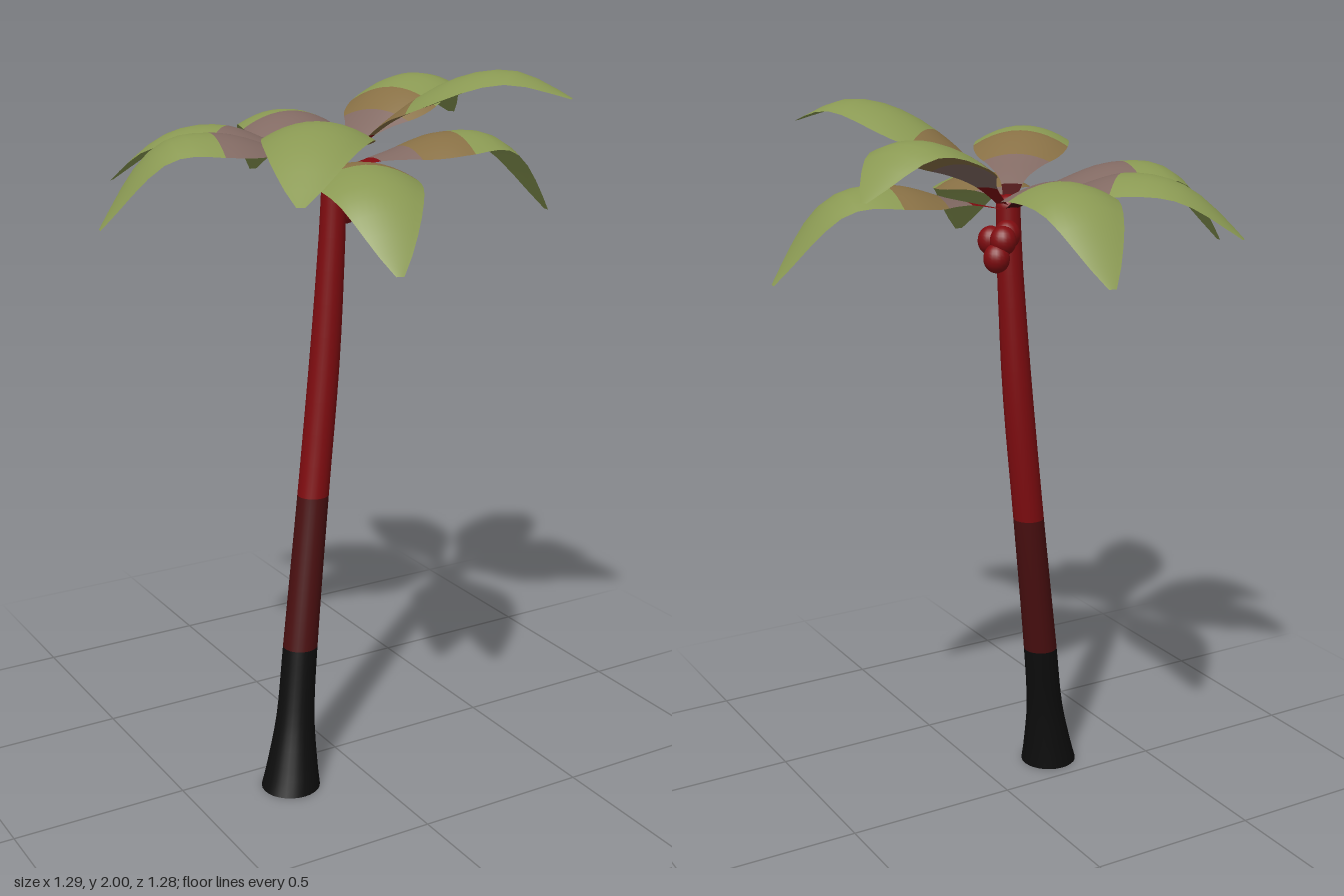
import * as THREE from 'three';

const mat = (name, color, side = THREE.FrontSide) => {
  const m = new THREE.MeshStandardMaterial({ color, side });
  m.name = name;
  return m;
};

// Smooth curve through [t, value] keys
function smooth(keys, t) {
  let i = 0;
  while (i < keys.length - 2 && t > keys[i + 1][0]) i++;
  const slope = (a, b) => (keys[b][1] - keys[a][1]) / (keys[b][0] - keys[a][0]);
  const tangent = k => slope(Math.max(k - 1, 0), Math.min(k + 1, keys.length - 1));
  const h = keys[i + 1][0] - keys[i][0];
  const s = (t - keys[i][0]) / h, s2 = s * s, s3 = s2 * s;
  return keys[i][1] * (2 * s3 - 3 * s2 + 1) + keys[i + 1][1] * (3 * s2 - 2 * s3)
    + h * (tangent(i) * (s3 - 2 * s2 + s) + tangent(i + 1) * (s3 - s2));
}

// Surface from cross-sections; one material group for each band between breaks
function bandedSurface(breaks, rowsPerBand, cols, pointAt) {
  const ts = [breaks[0]];
  for (let b = 1; b < breaks.length; b++) {
    for (let r = 1; r <= rowsPerBand; r++) {
      ts.push(THREE.MathUtils.lerp(breaks[b - 1], breaks[b], r / rowsPerBand));
    }
  }
  const positions = [], index = [];
  for (const t of ts) {
    for (let j = 0; j <= cols; j++) positions.push(...pointAt(t, j / cols));
  }
  for (let i = 0; i < ts.length - 1; i++) {
    for (let j = 0; j < cols; j++) {
      const a = i * (cols + 1) + j, b = a + cols + 1;
      index.push(a, b, a + 1, b, b + 1, a + 1);
    }
  }
  const g = new THREE.BufferGeometry();
  g.setAttribute('position', new THREE.Float32BufferAttribute(positions, 3));
  g.setIndex(index);
  const perBand = rowsPerBand * cols * 6;
  for (let b = 0; b < breaks.length - 1; b++) g.addGroup(b * perBand, perBand, b);
  g.computeVertexNormals();
  return g;
}

export function createModel() {
  const model = new THREE.Group();
  const add = (name, geometry, material) => {
    const mesh = new THREE.Mesh(geometry, material);
    mesh.name = name;
    model.add(mesh);
    return mesh;
  };

  const black = mat('trunkBlack', 0x0d0d0d);
  const maroon = mat('trunkMaroon', 0x4a0f10);
  const red = mat('trunkRed', 0x800c10);
  const leafMats = {
    maroon: mat('stalkMaroon', 0x4a0f10, THREE.DoubleSide),
    red: mat('stalkRed', 0x800c10, THREE.DoubleSide),
    mauve: mat('leafMauve', 0x826a63, THREE.DoubleSide),
    brown: mat('leafBrown', 0x887045, THREE.DoubleSide),
    green: mat('leafGreen', 0x8a9953, THREE.DoubleSide),
  };

  // Leaning trunk with a flared foot
  const trunkX = [[0, -0.217], [0.2, -0.187], [0.4, -0.157], [0.83, -0.093], [1.2, -0.05], [1.55, -0.026], [1.73, -0.02]];
  const trunkZ = [[0, 0.121], [0.2, 0.097], [0.4, 0.074], [0.83, 0.038], [1.2, 0.027], [1.73, 0.03]];
  const trunkR = [[0, 0.083], [0.06, 0.072], [0.2, 0.054], [0.4, 0.049], [0.83, 0.044], [1.2, 0.042], [1.6, 0.035], [1.73, 0.033]];
  add('trunk', bandedSurface([0, 0.4, 0.83, 1.73], 10, 28, (y, u) => {
    const r = smooth(trunkR, y), a = u * Math.PI * 2;
    return [smooth(trunkX, y) + r * Math.cos(a), y, smooth(trunkZ, y) + r * Math.sin(a)];
  }), [black, maroon, red]);
  const foot = add('trunkFoot', new THREE.CircleGeometry(0.083, 28), black);
  foot.rotation.x = Math.PI / 2;
  foot.position.set(-0.217, 0, 0.121);

  // Rounded heart on top of the trunk
  const heart = add('crownHeart', new THREE.SphereGeometry(0.033, 20, 12), red);
  heart.position.set(-0.02, 1.73, 0.03);

  // Nuts hanging under the crown
  const nut = new THREE.SphereGeometry(0.036, 18, 14);
  for (const [x, y, z] of [[0.025, 1.64, 0.045], [0.05, 1.605, -0.03], [0.03, 1.65, -0.03], [0.0, 1.66, 0.0]]) {
    const m = add('nut', nut, red);
    m.position.set(x, y, z);
    m.scale.y = 1.1;
  }

  // Leaves: tip x and z, heights from stalk to tip, band ends and band colours
  const leaves = [
    ['backLeaf', 0.087, -0.64, [1.78, 1.84, 1.805, 1.63], [0.14, 0.515], ['maroon', 'mauve', 'green']],
    ['backLeftLeaf', 0.54, -0.25, [1.83, 1.92, 1.935, 1.815], [0.16, 0.33, 0.476], ['red', 'mauve', 'brown', 'green']],
    ['leftLeaf', 0.64, 0.09, [1.76, 1.805, 1.775, 1.57], [0.18, 0.32, 0.53], ['red', 'mauve', 'brown', 'green']],
    ['frontLeftLeaf', 0.375, 0.52, [1.87, 1.97, 1.998, 1.935], [0.16, 0.37], ['red', 'brown', 'green']],
    ['frontLeaf', -0.197, 0.635, [1.765, 1.785, 1.735, 1.572], [0.15, 0.23, 0.5], ['red', 'mauve', 'brown', 'green']],
    ['frontRightLeaf', -0.455, 0.625, [1.82, 1.9, 1.87, 1.755], [0.14, 0.31, 0.47], ['maroon', 'mauve', 'brown', 'green']],
    ['rightLeaf', -0.643, -0.085, [1.79, 1.835, 1.805, 1.605], [0.14, 0.53], ['maroon', 'mauve', 'green']],
    ['backRightLeaf', -0.46, -0.43, [1.78, 1.83, 1.8, 1.67], [0.14, 0.48], ['maroon', 'mauve', 'green']],
  ];
  const halfWidth = [[0, 0.014], [0.1, 0.023], [0.17, 0.036], [0.27, 0.075], [0.36, 0.115], [0.46, 0.135],
    [0.6, 0.13], [0.78, 0.095], [0.91, 0.052], [1, 0.01]];
  const cx = -0.02, cz = 0.03;
  for (const [name, tx, tz, [h1, h2, h3, h4], ends, colours] of leaves) {
    const dx = tx - cx, dz = tz - cz, len = Math.hypot(dx, dz);
    const height = [[0, 1.72], [0.25, h1], [0.5, h2], [0.75, h3], [1, h4]];
    const geometry = bandedSurface([0, ...ends, 1], 8, 10, (t, u) => {
      const side = u * 2 - 1, w = smooth(halfWidth, t) * side;
      // Edges droop from the midrib
      const y = smooth(height, t) - 2.4 * w * w;
      return [cx + dx * t + (dz / len) * w, y, cz + dz * t - (dx / len) * w];
    });
    add(name, geometry, colours.map(c => leafMats[c]));
  }
  return model;
}
